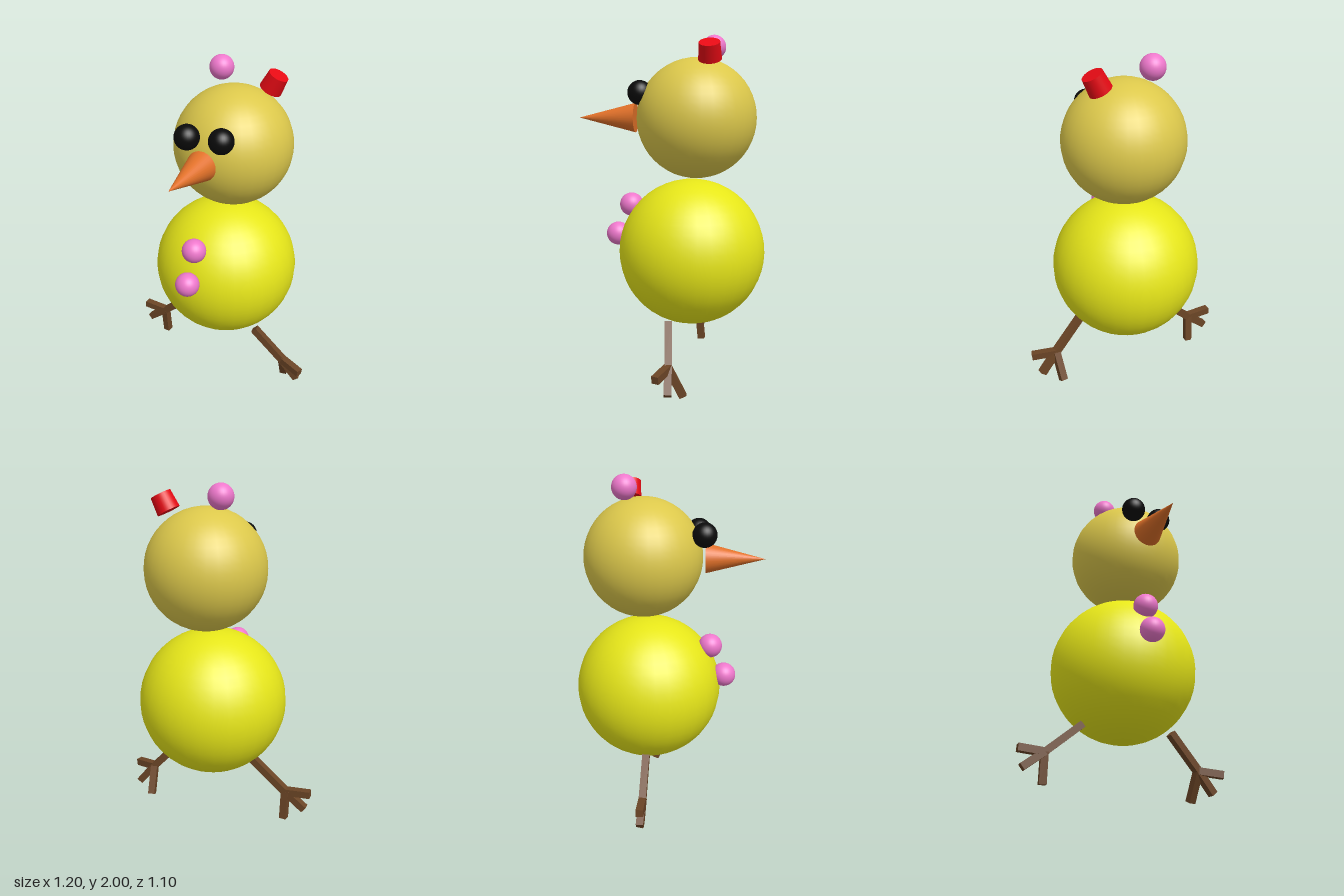
import * as THREE from 'three';

export function createModel() {
  const root = new THREE.Group();
  const mat = (color) => new THREE.MeshStandardMaterial({ color });
  const yellow = mat(0xe6e619), straw = mat(0xdcc84b), pink = mat(0xee78cc);
  const black = mat(0x0a0a0a), red = mat(0xe60a14), orange = mat(0xe07028), brown = mat(0x6b4526);

  function add(name, geometry, material, pos, parent = root) {
    const mesh = new THREE.Mesh(geometry, material);
    mesh.name = name;
    mesh.position.set(...pos);
    parent.add(mesh);
    return mesh;
  }
  const ball = (name, r, material, pos) => add(name, new THREE.SphereGeometry(r, 32, 24), material, pos);

  // Square stick running from a to b
  function stick(name, a, b, parent) {
    const from = new THREE.Vector3(...a), to = new THREE.Vector3(...b);
    const mid = from.clone().add(to).multiplyScalar(0.5);
    const mesh = add(name, new THREE.BoxGeometry(0.042, 0.042, from.distanceTo(to)), brown, mid.toArray(), parent);
    mesh.lookAt(to);
  }

  // Leg with three toes spreading from the ankle
  function leg(name, hip, ankle, toes) {
    const group = new THREE.Group();
    group.name = name;
    root.add(group);
    stick('shin', hip, ankle, group);
    toes.forEach((tip) => stick('toe', ankle, tip, group));
  }

  // Body and head
  ball('body', 0.43, yellow, [0.01, 0.74, -0.122]);
  ball('head', 0.345, straw, [0.037, 1.525, -0.15]);

  // Eyes, partly sunk into the head
  ball('rightEye', 0.07, black, [-0.065, 1.675, 0.205]);
  ball('leftEye', 0.07, black, [0.12, 1.67, 0.166]);

  // Pointed nose
  const nose = add('nose', new THREE.ConeGeometry(0.086, 0.34, 32), orange, [0.024, 1.527, 0.38]);
  nose.rotation.x = Math.PI / 2;

  // Buttons and the pompom above the head
  ball('upperButton', 0.07, pink, [-0.01, 1.01, 0.246]);
  ball('lowerButton', 0.07, pink, [-0.01, 0.83, 0.33]);
  ball('pompom', 0.07, pink, [-0.085, 1.934, -0.237]);

  // Small tilted cap
  const cap = add('cap', new THREE.CylinderGeometry(0.058, 0.065, 0.098, 32), red, [0.235, 1.89, -0.243]);
  cap.rotation.z = -0.48;

  // Legs
  leg('rightLeg', [-0.24, 0.39, -0.117], [-0.45, 0.212, -0.117],
    [[-0.6, 0.222, -0.117], [-0.57, 0.12, -0.12], [-0.448, 0.04, -0.133]]);
  leg('leftLeg', [0.265, 0.37, -0.02], [0.45, 0.175, -0.05],
    [[0.588, 0.155, 0], [0.55, 0.055, -0.062], [0.437, 0.012, -0.13]]);

  return root;
}
